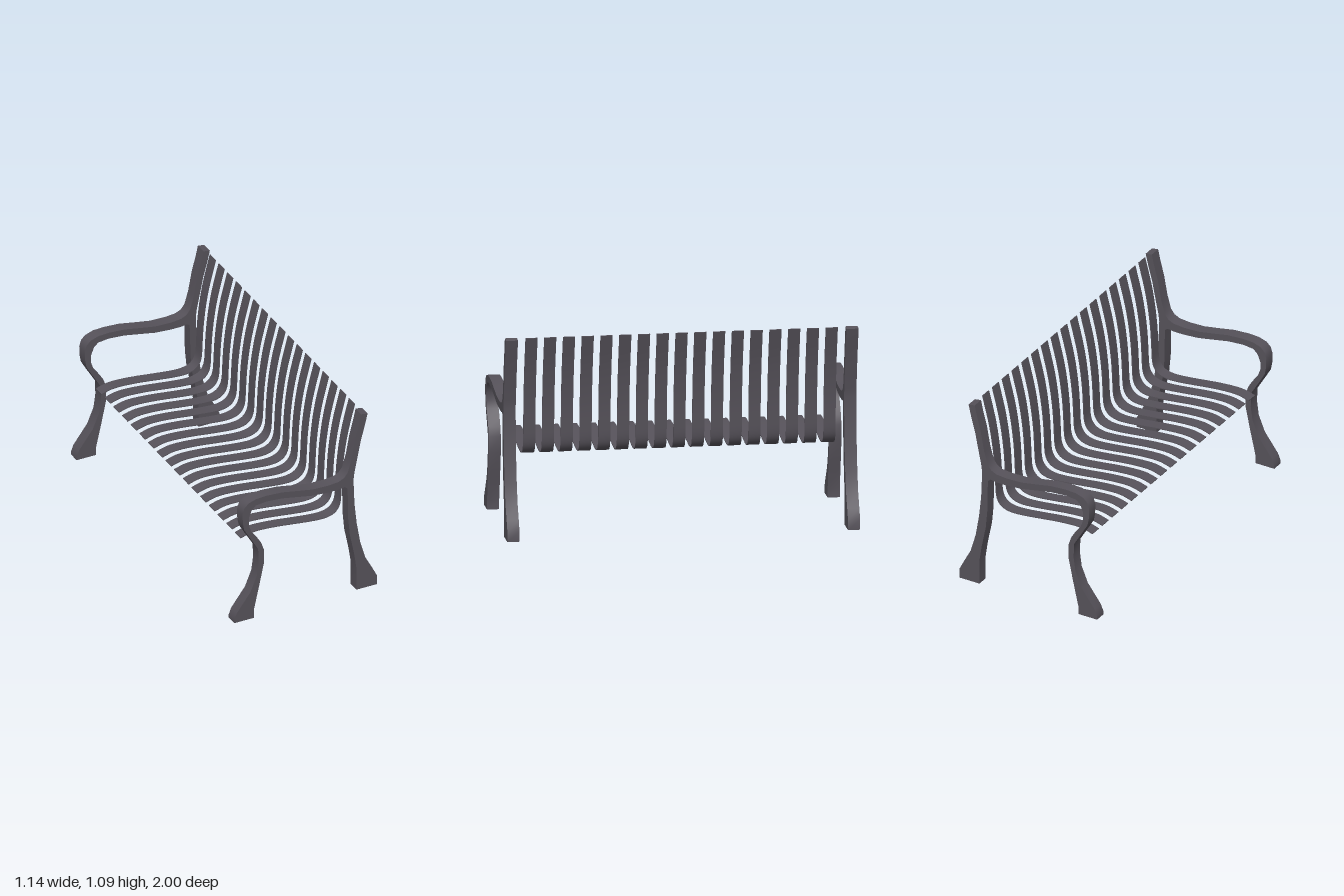
import * as THREE from 'three';
import { toCreasedNormals } from 'three/addons/utils/BufferGeometryUtils.js';

const FRAME_WIDTH = 0.065;
const SLAT_WIDTH = 0.065;
const SLAT_THICKNESS = 0.005;

const vec = ([x, y]) => new THREE.Vector2(x, y);

// Extrude a side profile along z, centred, with soft curves and sharp edges
function extrudeProfile(points, width) {
  const geometry = new THREE.ExtrudeGeometry(new THREE.Shape(points), {
    depth: width, bevelEnabled: false,
  });
  geometry.translate(0, 0, -width / 2);
  return toCreasedNormals(geometry, 0.6);
}

// One cast end frame: front leg, arm rest, back post and back leg
function frameGeometry() {
  const frontOfLegAndArmTop = [
    [-0.423, 0], [-0.423, 0.02], [-0.408, 0.058], [-0.327, 0.166], [-0.289, 0.258],
    [-0.278, 0.34], [-0.281, 0.423], [-0.303, 0.46], [-0.333, 0.51], [-0.364, 0.564],
    [-0.372, 0.607], [-0.374, 0.663], [-0.363, 0.7], [-0.338, 0.724], [-0.292, 0.739],
    [-0.23, 0.742], [-0.137, 0.736], [-0.044, 0.718], [0.046, 0.702], [0.138, 0.699],
    [0.2, 0.705], [0.231, 0.72], [0.253, 0.748],
  ];
  const postFront = [[0.275, 0.825], [0.296, 0.939], [0.32, 1.03], [0.333, 1.089]];
  const postRear = [
    [0.371, 1.083], [0.355, 1.015], [0.33, 0.923], [0.312, 0.831], [0.293, 0.739],
    [0.287, 0.693], [0.293, 0.54], [0.306, 0.417], [0.327, 0.294], [0.358, 0.187],
    [0.399, 0.11], [0.427, 0.055], [0.427, 0],
  ];
  const backLegInside = [
    [0.304, 0], [0.304, 0.14], [0.29, 0.233], [0.265, 0.356], [0.255, 0.463],
    [0.253, 0.6], [0.25, 0.65], [0.235, 0.662],
  ];
  const armUndersideAndLegInside = [
    [0.2, 0.656], [0.138, 0.656], [0.046, 0.663], [-0.047, 0.681], [-0.14, 0.699],
    [-0.233, 0.706], [-0.295, 0.699], [-0.32, 0.675], [-0.337, 0.632], [-0.337, 0.586],
    [-0.323, 0.546], [-0.289, 0.5], [-0.264, 0.46], [-0.247, 0.411], [-0.247, 0.325],
    [-0.276, 0.187], [-0.307, 0.049], [-0.307, 0],
  ];
  const outline = [
    ...frontOfLegAndArmTop, ...postFront, ...postRear,
    ...backLegInside, ...armUndersideAndLegInside,
  ].map(vec);
  return extrudeProfile(outline, FRAME_WIDTH);
}

// One bent slat: wavy seat that sweeps up into the leaning back
function slatGeometry() {
  const curve = new THREE.SplineCurve([
    [-0.33, 0.445], [-0.27, 0.461], [-0.2, 0.463], [-0.1, 0.455], [0, 0.442],
    [0.1, 0.43], [0.17, 0.427], [0.22, 0.438], [0.25, 0.465], [0.265, 0.51],
    [0.27, 0.6], [0.276, 0.7], [0.29, 0.82], [0.312, 0.94], [0.35, 1.089],
  ].map(vec));
  const upper = [];
  const lower = [];
  const steps = 44;
  for (let i = 0; i <= steps; i++) {
    const p = curve.getPoint(i / steps);
    const t = curve.getTangent(i / steps);
    const normal = new THREE.Vector2(-t.y, t.x).multiplyScalar(SLAT_THICKNESS / 2);
    upper.push(p.clone().add(normal));
    lower.push(p.clone().sub(normal));
  }
  return extrudeProfile([...lower, ...upper.reverse()], SLAT_WIDTH);
}

export function createModel() {
  const bench = new THREE.Group();
  bench.name = 'bench';
  const metal = new THREE.MeshStandardMaterial({ color: 0x56525a });
  metal.name = 'dark grey metal';

  // End frames
  const frame = frameGeometry();
  for (const [name, side] of [['frontEndFrame', 1], ['rearEndFrame', -1]]) {
    const mesh = new THREE.Mesh(frame, metal);
    mesh.name = name;
    mesh.position.z = side * 0.912;
    bench.add(mesh);
  }

  // Seventeen evenly spaced slats
  const slats = new THREE.Group();
  slats.name = 'slats';
  const slat = slatGeometry();
  for (let i = -8; i <= 8; i++) {
    const mesh = new THREE.Mesh(slat, metal);
    mesh.name = 'slat';
    mesh.position.z = i * 0.1005;
    slats.add(mesh);
  }
  bench.add(slats);

  // The bench stands slightly turned
  bench.rotation.y = 0.158;
  const model = new THREE.Group();
  model.name = 'parkBench';
  model.add(bench);
  return model;
}
